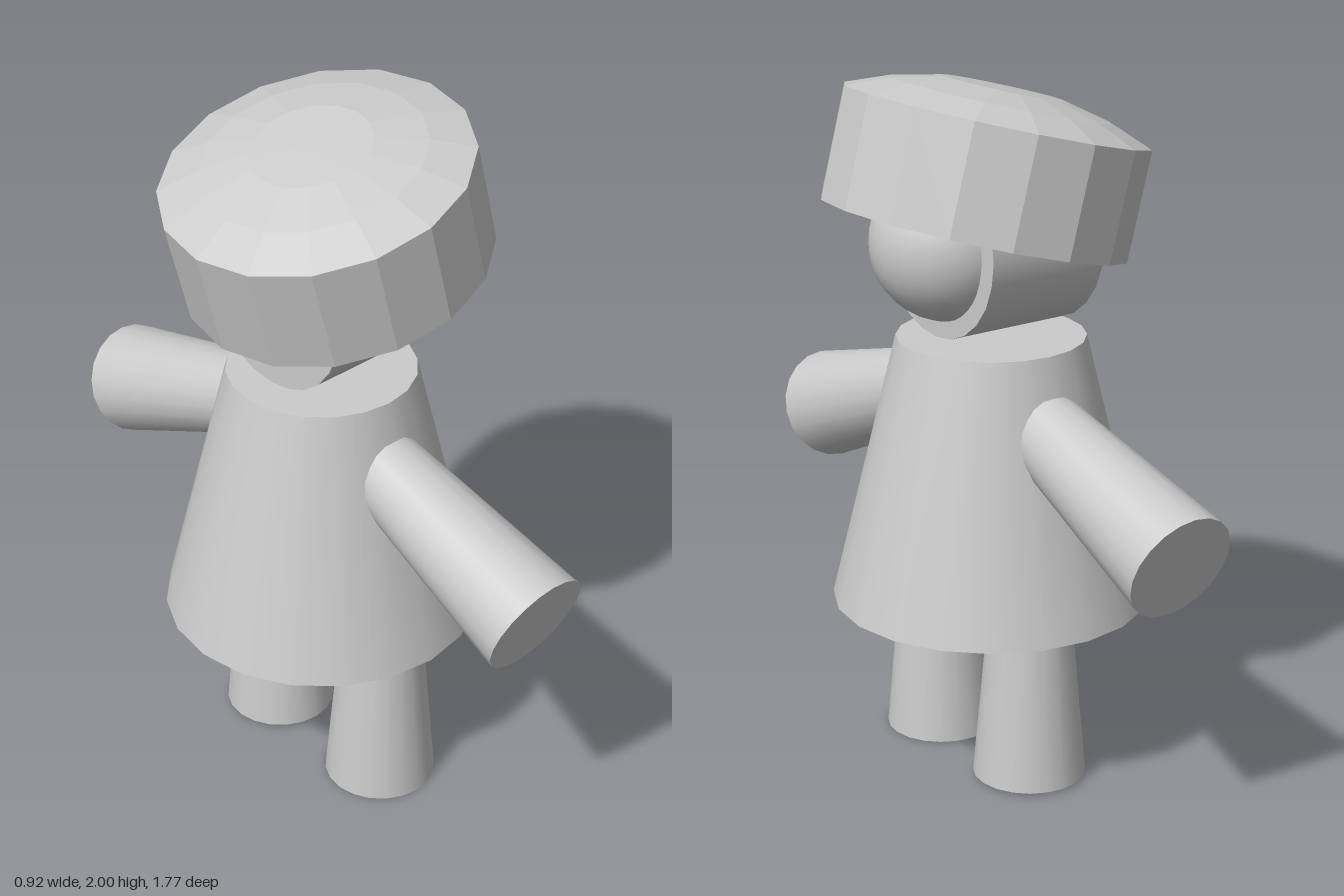
import * as THREE from 'three';

const X = -0.015; // shared centre line of body and limbs

export function createModel() {
  const model = new THREE.Group();
  model.name = 'doll';
  const smooth = new THREE.MeshStandardMaterial({ color: 0xcccccc });
  const faceted = new THREE.MeshStandardMaterial({ color: 0xcccccc, flatShading: true, side: THREE.DoubleSide });

  const add = (name, geometry, x, y, z, material = smooth) => {
    const mesh = new THREE.Mesh(geometry, material);
    mesh.name = name;
    mesh.position.set(x, y, z);
    model.add(mesh);
    return mesh;
  };

  // Flared coat
  add('coat', new THREE.CylinderGeometry(0.265, 0.45, 0.765, 20), X, 0.8825, 0);

  // Tapered legs, one a touch shorter and closer to the middle
  for (const [name, z, bottom] of [['rightLeg', 0.25, 0], ['leftLeg', -0.185, 0.01]]) {
    const height = 0.6 - bottom;
    add(name, new THREE.CylinderGeometry(0.108, 0.16, height, 20), X, bottom + height / 2, z);
  }

  // Arms widen from the shoulder to the cuff and slope down by 20 degrees
  const length = 0.68, slope = THREE.MathUtils.degToRad(20);
  for (const side of [1, -1]) {
    const arm = add(side > 0 ? 'rightArm' : 'leftArm',
      new THREE.CylinderGeometry(0.16, 0.107, length, 20),
      X, 0.84 + Math.sin(slope) * length / 2, side * (0.83 - Math.cos(slope) * length / 2));
    arm.rotation.x = side * (Math.PI / 2 + slope);
  }

  // Hood lying along x, with the face ball set in its front
  const hood = add('hood', new THREE.CylinderGeometry(0.265, 0.265, 0.37, 24), -0.015, 1.555, 0);
  hood.rotation.z = -Math.PI / 2;
  add('face', new THREE.SphereGeometry(0.216, 28, 20), 0.129, 1.551, 0);

  // Hollow tilted cap with a shallow stepped crown
  const profile = [
    [0, 0.26], [0.355, 0.26], [0.355, 0], [0.428, 0],
    [0.428, 0.31], [0.31, 0.355], [0.17, 0.387], [0, 0.39],
  ].map(([r, y]) => new THREE.Vector2(r, y));
  const cap = add('cap', new THREE.LatheGeometry(profile, 16, Math.PI / 2), 0.045, 1.575, 0, faceted);
  cap.rotation.z = THREE.MathUtils.degToRad(15);

  return model;
}
